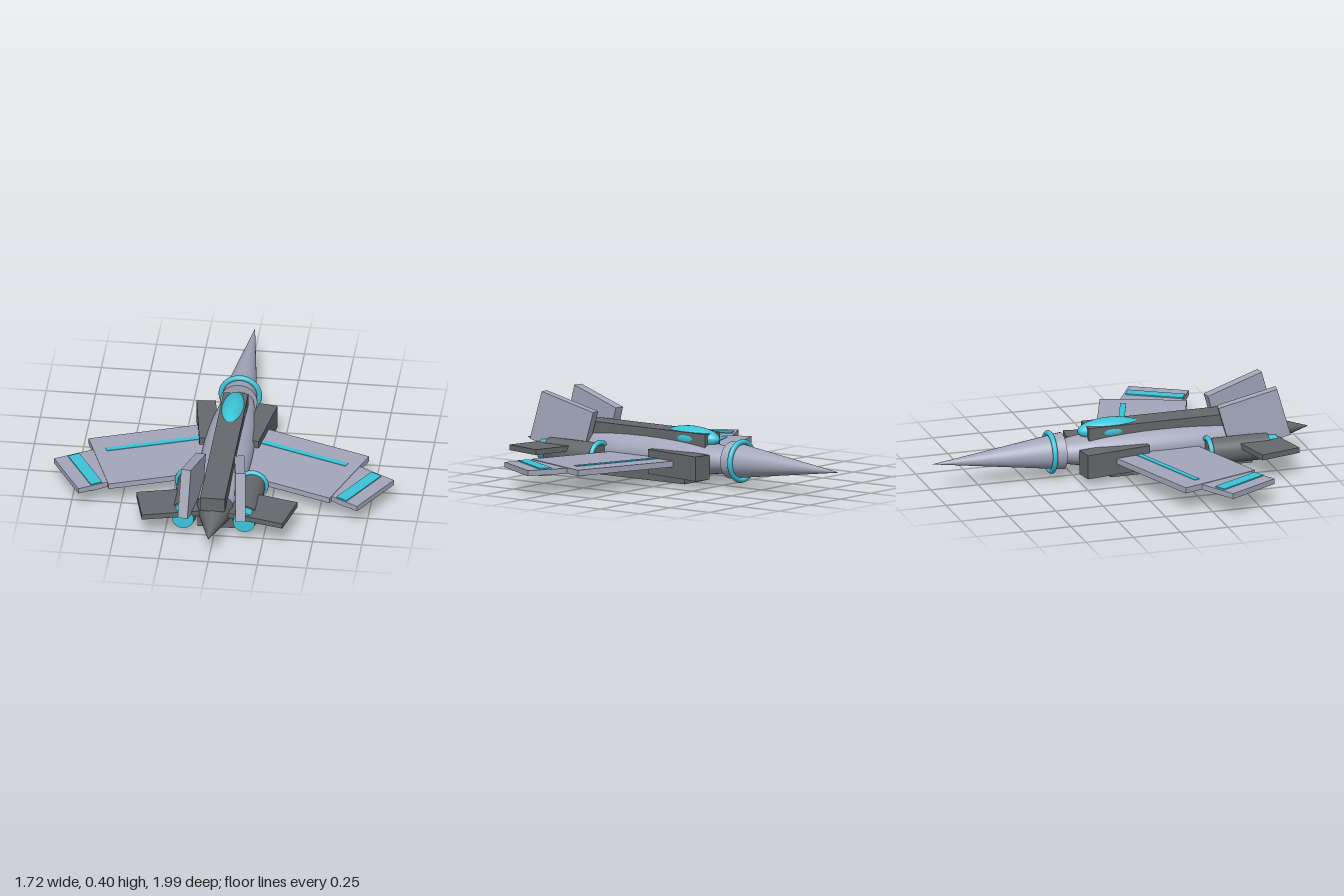
import * as THREE from 'three';

const paint = (name, color) => {
  const m = new THREE.MeshStandardMaterial({ color });
  m.name = name;
  return m;
};

export function createModel() {
  const light = paint('pale grey hull', 0xa3a7ba);
  const dark = paint('dark grey panels', 0x65686c);
  const cyan = paint('cyan accents', 0x3cc4d8);
  const model = new THREE.Group();
  model.name = 'jet';

  const add = (name, geometry, material, x, y, z) => {
    const mesh = new THREE.Mesh(geometry, material);
    mesh.name = name;
    mesh.position.set(x, y, z);
    model.add(mesh);
    return mesh;
  };
  const box = (name, material, size, pos, yaw = 0, pitch = 0) => {
    const mesh = add(name, new THREE.BoxGeometry(...size), material, ...pos);
    mesh.rotation.set(pitch, yaw, 0, 'YXZ');
    return mesh;
  };
  // Tapered round part along z, from z0 (radius r0) to z1 (radius r1)
  const round = (name, material, r0, r1, z0, z1, x, y) => {
    const g = new THREE.CylinderGeometry(r1, r0, z1 - z0, 32).rotateX(Math.PI / 2);
    return add(name, g, material, x, y, (z0 + z1) / 2);
  };
  const ellipsoid = (name, material, rx, ry, rz, y, z) =>
    add(name, new THREE.SphereGeometry(1, 32, 20).rotateX(Math.PI / 2).scale(rx, ry, rz), material, 0, y, z);

  // Fuselage, nose at -z
  ellipsoid('fuselage', light, 0.13, 0.1, 0.63, 0.13, 0.2);
  round('noseCone', light, 0, 0.094, -0.995, -0.307, 0, 0.135);
  add('noseRing', new THREE.TorusGeometry(0.097, 0.0135, 12, 40), cyan, 0, 0.135, -0.372);
  round('tailCone', dark, 0.095, 0, 0.7, 0.995, 0, 0.13);
  box('spine', dark, [0.126, 0.075, 1.0], [0, 0.2225, 0.315]);
  box('bellyKeel', dark, [0.188, 0.08, 0.75], [0, 0.04, 0.295]);
  ellipsoid('canopy', cyan, 0.066, 0.057, 0.17, 0.228, -0.055);

  const deg = Math.PI / 180;
  for (const s of [1, -1]) {
    const side = s > 0 ? 'left' : 'right';

    // Intake block beside the cockpit
    box(side + 'Intake', dark, [0.097, 0.125, 0.35], [0.13 * s, 0.105, -0.07], -0.157 * s);

    // Swept wing with stripe and wing tip
    const sweep = 20 * deg, tipSweep = 30 * deg;
    box(side + 'Wing', light, [0.63, 0.03, 0.44], [0.34 * s, 0.113, 0.219], -sweep * s);
    box(side + 'WingStripe', cyan, [0.52, 0.036, 0.03], [0.366 * s, 0.113, 0.124], -sweep * s);
    box(side + 'WingTip', light, [0.25, 0.028, 0.31], [0.676 * s, 0.111, 0.394], -tipSweep * s);
    box(side + 'WingTipStripe', cyan, [0.062, 0.04, 0.293], [0.694 * s, 0.111, 0.409], -tipSweep * s);

    // Tailplane and upright fin
    box(side + 'Tailplane', dark, [0.3, 0.028, 0.218], [0.237 * s, 0.134, 0.692], -14 * deg * s);
    box(side + 'Fin', light, [0.05, 0.255, 0.312], [0.122 * s, 0.235, 0.668], 0.137 * s, -0.275);

    // Engine
    round(side + 'Engine', dark, 0.067, 0.067, 0.41, 0.727, 0.155 * s, 0.104);
    add(side + 'EngineRing', new THREE.TorusGeometry(0.069, 0.013, 12, 36), cyan, 0.155 * s, 0.104, 0.415);
    round(side + 'Exhaust', cyan, 0.062, 0.055, 0.7, 0.775, 0.155 * s, 0.104);
  }
  return model;
}
